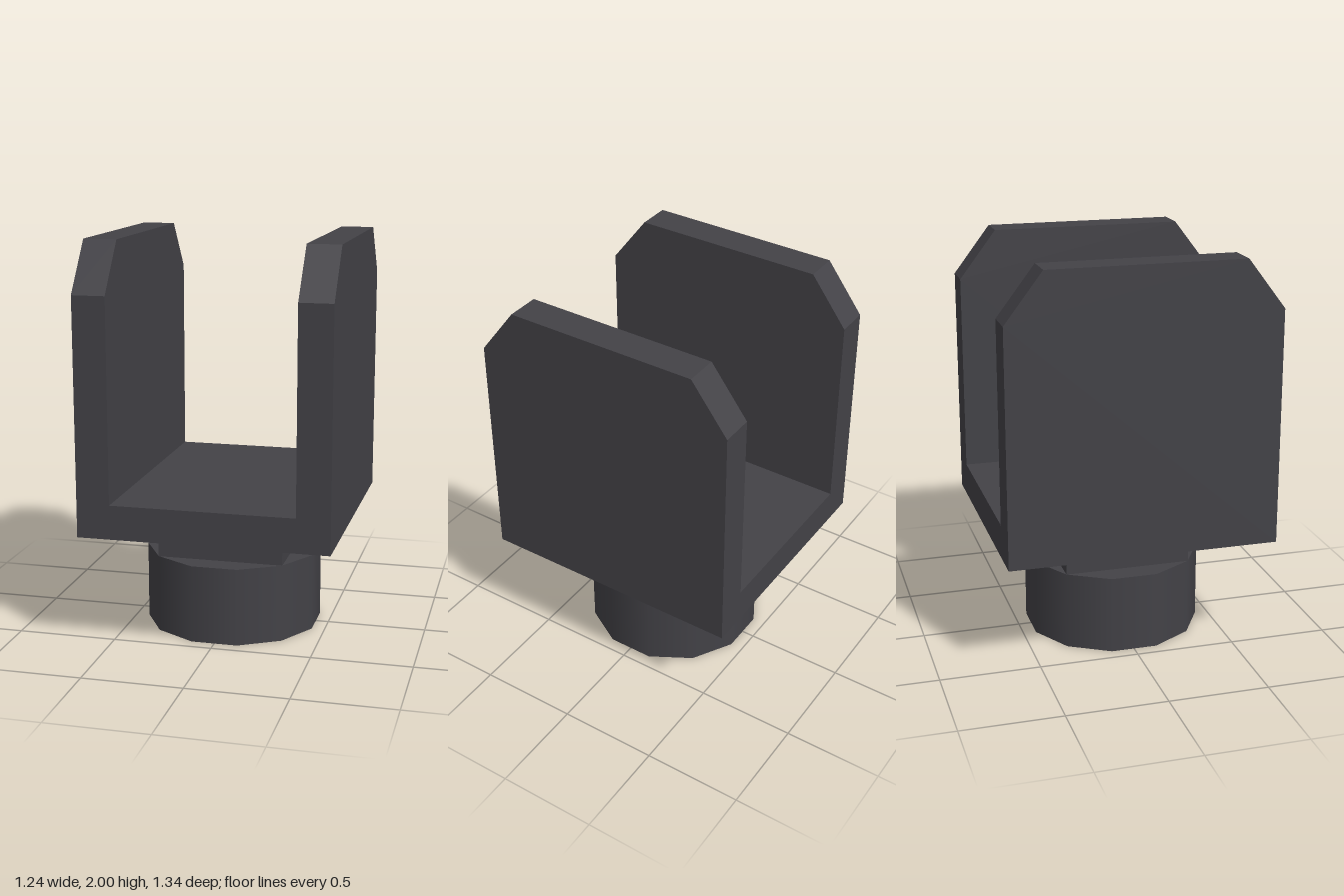
import * as THREE from 'three';

export function createModel() {
  const group = new THREE.Group();
  const darkGrey = new THREE.MeshStandardMaterial({ color: 0x434247 });
  darkGrey.name = 'darkGrey';

  const add = (name, geometry, x, y) => {
    const mesh = new THREE.Mesh(geometry, darkGrey);
    mesh.name = name;
    mesh.position.set(x, y, 0);
    group.add(mesh);
  };

  const bottom = 0.58, top = 2, floorTop = 0.75;
  const outer = 0.62, inner = 0.455, halfDepth = 0.672;

  // Side walls: plates with chamfered upper corners
  const profile = new THREE.Shape([
    [-halfDepth, bottom], [halfDepth, bottom], [halfDepth, 1.755],
    [0.485, top], [-0.485, top], [-halfDepth, 1.755],
  ].map(([z, y]) => new THREE.Vector2(z, y)));
  const thickness = outer - inner;
  const wall = new THREE.ExtrudeGeometry(profile, { depth: thickness, bevelEnabled: false });
  wall.translate(0, 0, -thickness / 2).rotateY(Math.PI / 2);
  add('leftWall', wall, (outer + inner) / 2, 0);
  add('rightWall', wall, -(outer + inner) / 2, 0);

  // Floor joining the two walls
  add('floor', new THREE.BoxGeometry(inner * 2, floorTop - bottom, halfDepth * 2), 0, (floorTop + bottom) / 2);

  // Square neck under the fork
  add('neck', new THREE.BoxGeometry(0.638, bottom - 0.395, 0.638), 0, (bottom + 0.395) / 2);

  // Twelve-sided round foot, with flats facing the axes
  add('foot', new THREE.CylinderGeometry(0.45, 0.45, 0.395, 12, 1, false, Math.PI / 12), 0, 0.395 / 2);

  return group;
}
